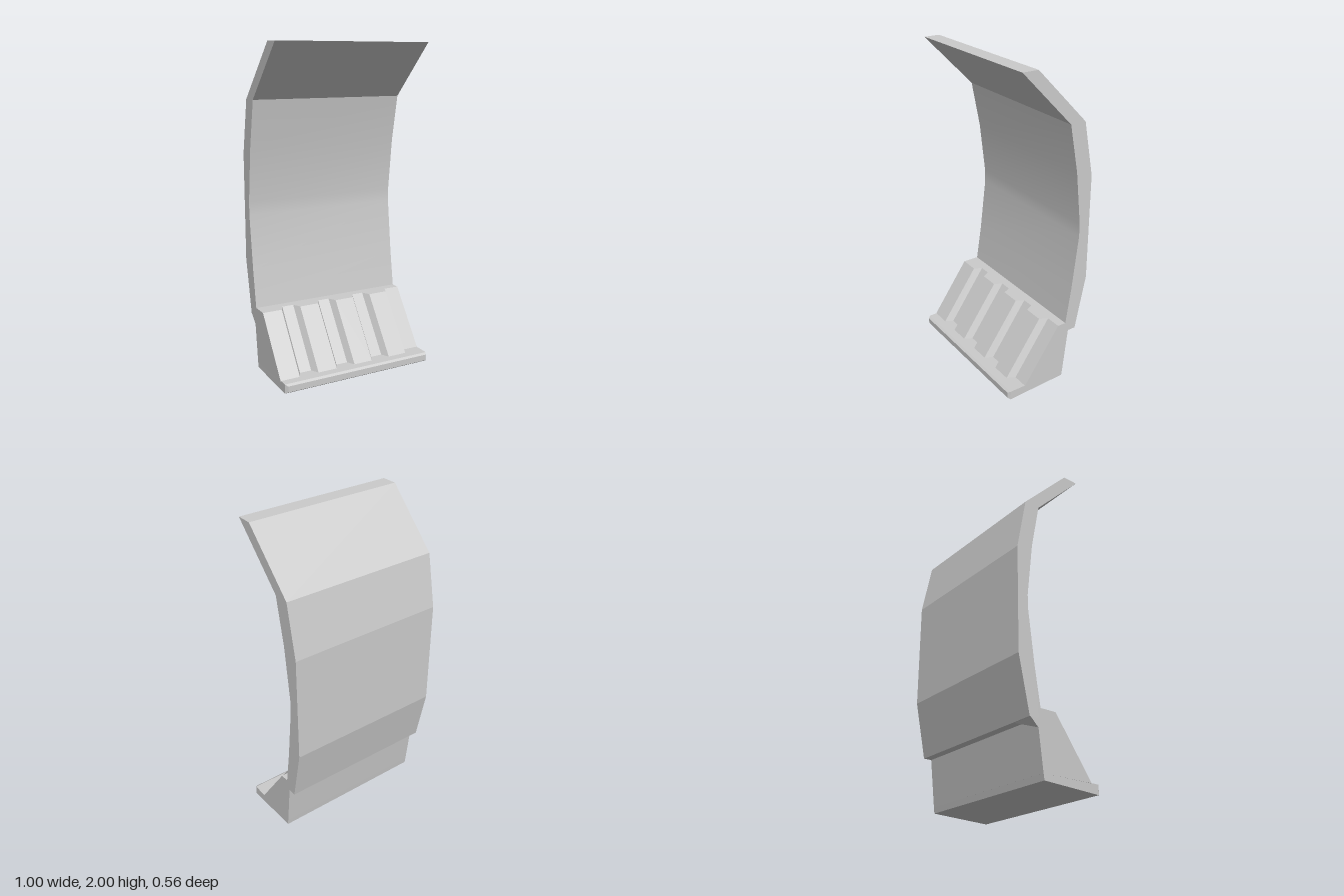
import * as THREE from 'three';
import { toCreasedNormals } from 'three/addons/utils/BufferGeometryUtils.js';
import { ConvexGeometry } from 'three/addons/geometries/ConvexGeometry.js';

const smooth = new THREE.MeshStandardMaterial({ color: 0xcccccc });
const flat = new THREE.MeshStandardMaterial({ color: 0xcccccc, flatShading: true });

const shapeOf = (pts) => new THREE.Shape(pts.map(([a, b]) => new THREE.Vector2(a, b)));

function named(name, geometry, material) {
  const mesh = new THREE.Mesh(geometry, material);
  mesh.name = name;
  return mesh;
}

const hull = (pts) => new ConvexGeometry(pts.map((p) => new THREE.Vector3(...p)));

// Curved panel: (z, y) side profile swept across the width
function panelGeometry() {
  const profile = [
    [0.21, 2], [-0.115, 1.67], [-0.172, 1.38], [-0.21, 1.05], [-0.21, 0.97],
    [-0.17, 0.63], [-0.135, 0.4], [-0.15, 0.34], // front
    [-0.21, 0.34], [-0.28, 0.68], [-0.28, 1.34], [-0.215, 1.67], [0.11, 2], // back
  ];
  const geo = new THREE.ExtrudeGeometry(shapeOf(profile), { depth: 1, bevelEnabled: false });
  geo.rotateY(-Math.PI / 2).translate(0.5, 0, 0);
  return toCreasedNormals(geo, THREE.MathUtils.degToRad(9));
}

// Ribbed foot: corrugated plan outline raised and sheared back to a slope
function footGeometry() {
  const out = 0.213, inn = 0.163, slant = 0.025;
  const plan = [[0.5, -0.125], [-0.5, -0.125]];
  for (let i = 0; i < 4; i++) {
    const x = -0.5 + i * 0.25;
    plan.push([x, out], [x + 0.125, out], [x + 0.125 + slant, inn]);
    plan.push([i < 3 ? x + 0.25 - slant : 0.5, inn]);
  }
  const geo = new THREE.ExtrudeGeometry(shapeOf(plan), { depth: 1, bevelEnabled: false });
  geo.rotateX(Math.PI / 2).translate(0, 1, 0);
  const p = geo.attributes.position;
  for (let i = 0; i < p.count; i++) {
    const t = p.getY(i), z = p.getZ(i);
    p.setY(i, 0.055 + 0.345 * t);
    p.setZ(i, z - (z > 0 ? 0.243 : 0.04) * t);
  }
  geo.computeVertexNormals();
  return geo;
}

// Base slab with a chamfered front lip
function baseGeometry() {
  const pts = [];
  for (const s of [-1, 1]) {
    pts.push(
      [s * 0.5, 0.018, -0.12], [s * 0.5, 0.057, -0.125],
      [s * 0.497, 0.057, 0.265], [s * 0.497, 0, 0.265],
      [s * 0.483, 0.047, 0.28], [s * 0.483, 0.01, 0.28],
    );
  }
  return hull(pts);
}

export function createModel() {
  const model = new THREE.Group();
  model.name = 'curvedPanelOnFoot';
  model.add(named('curvedPanel', panelGeometry(), smooth));
  model.add(named('ribbedFoot', footGeometry(), flat));
  model.add(named('baseLip', baseGeometry(), flat));
  // Small spur under one back corner of the panel
  model.add(named('cornerSpur', hull([
    [-0.5, 0.345, -0.21], [-0.35, 0.345, -0.208], [-0.5, 0.29, -0.153], [-0.5, 0.36, -0.153],
  ]), flat));
  return model;
}
